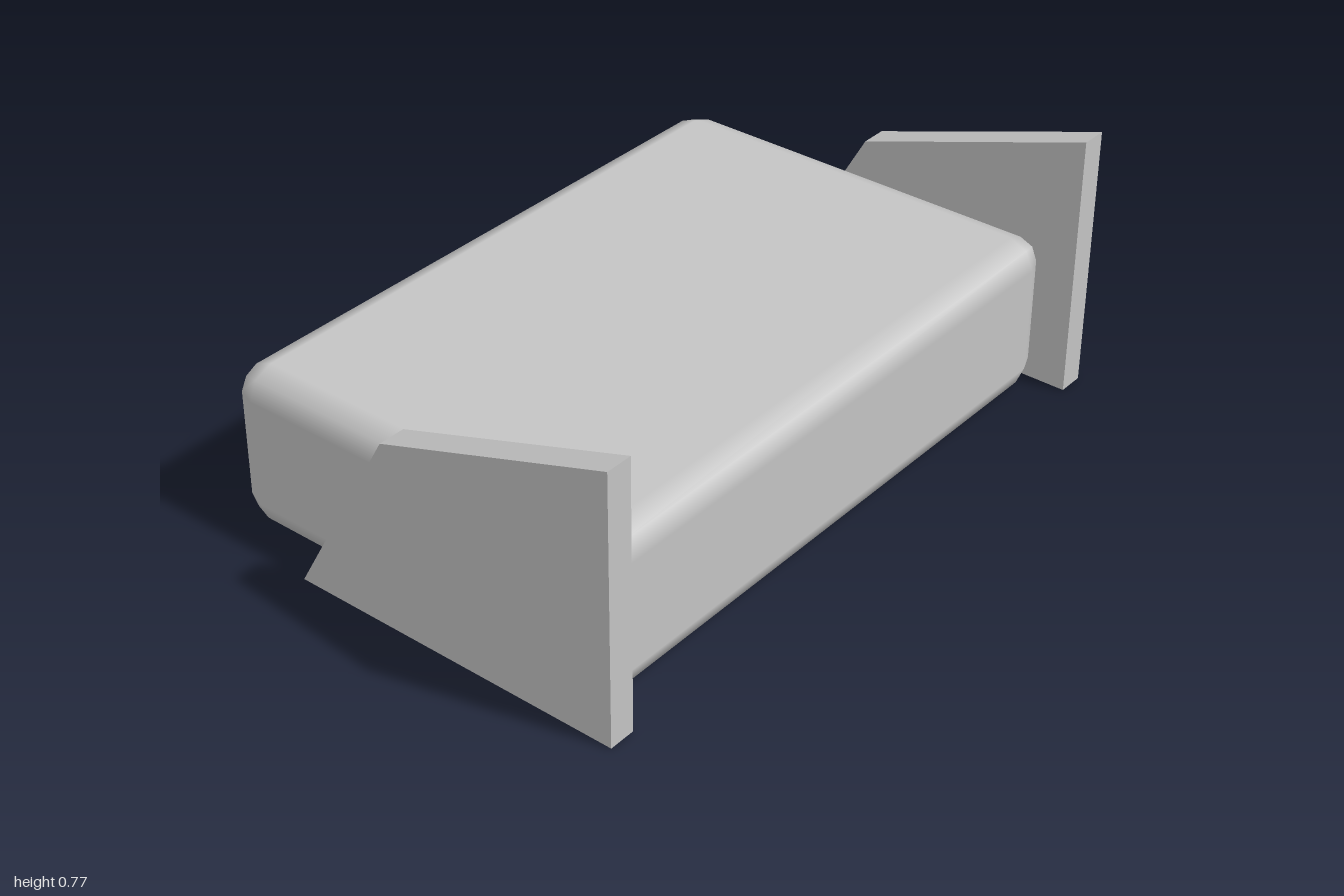
import * as THREE from 'three';
import { RoundedBoxGeometry } from 'three/addons/geometries/RoundedBoxGeometry.js';

export function createModel() {
  const group = new THREE.Group();
  const grey = new THREE.MeshStandardMaterial({ color: 0xc4c4c4 });
  grey.name = 'lightGrey';

  // Soft block with chamfer-like rounded edges
  const body = new THREE.Mesh(new RoundedBoxGeometry(1.84, 0.463, 1.228, 1, 0.077), grey);
  body.name = 'cushionBody';
  body.position.set(0, 0.2315, -0.041);
  group.add(body);

  // Side panel profile, drawn as (z, y)
  const profile = new THREE.Shape([
    new THREE.Vector2(0.655, 0),
    new THREE.Vector2(0.655, 0.77),
    new THREE.Vector2(-0.04, 0.54),
    new THREE.Vector2(-0.345, 0),
  ]);
  const thickness = 0.078;
  const panelGeometry = new THREE.ExtrudeGeometry(profile, { depth: thickness, bevelEnabled: false });
  panelGeometry.translate(0, 0, -thickness / 2);
  panelGeometry.rotateY(-Math.PI / 2);

  // One panel on each side
  for (const [name, side] of [['leftPanel', 1], ['rightPanel', -1]]) {
    const panel = new THREE.Mesh(panelGeometry, grey);
    panel.name = name;
    panel.position.x = side * (1 - thickness / 2);
    group.add(panel);
  }
  return group;
}
